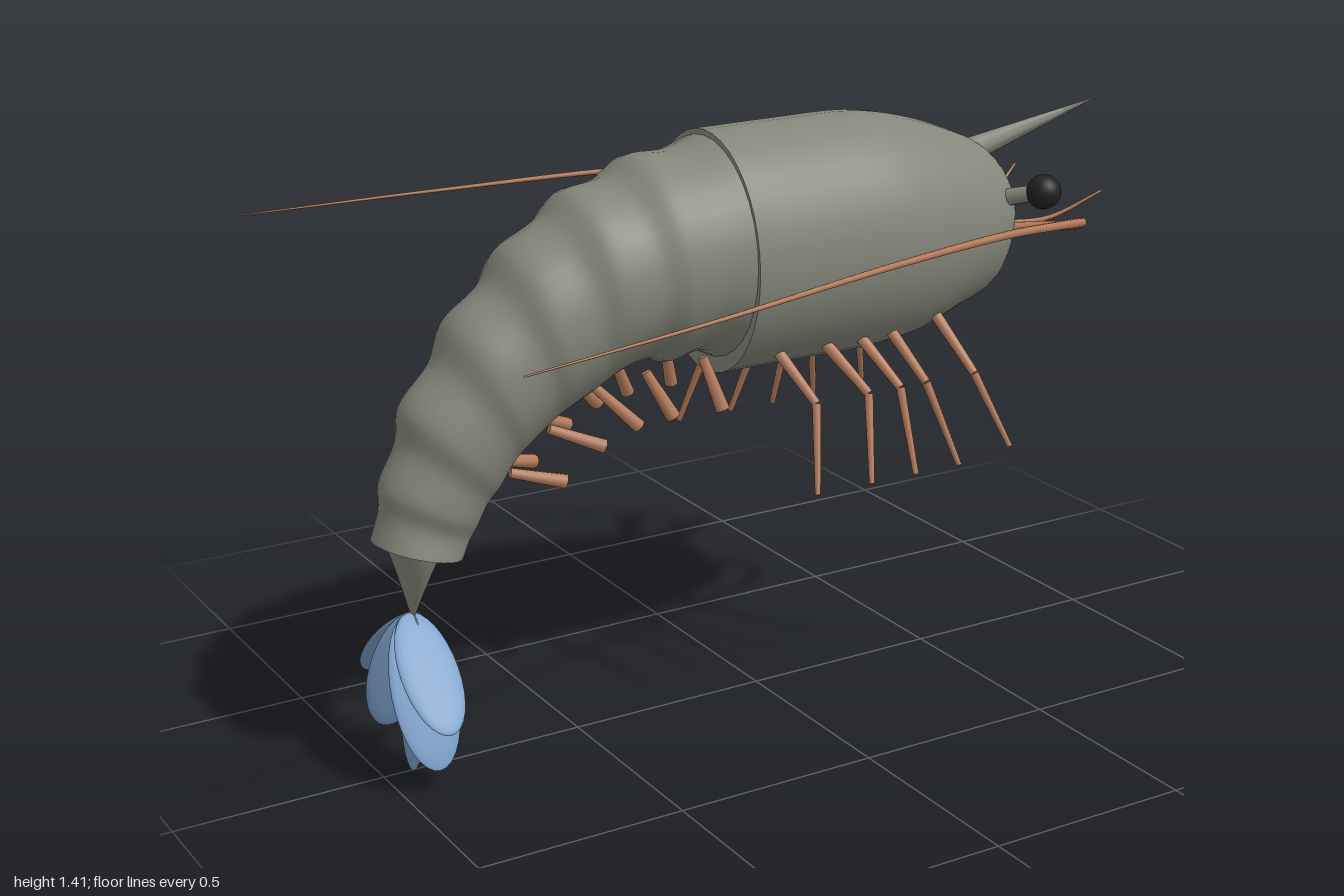
import * as THREE from 'three';

const paint = (name, color) => {
  const m = new THREE.MeshStandardMaterial({ color });
  m.name = name;
  return m;
};
const V = (x, y, z = 0) => new THREE.Vector3(x, y, z);

// Skin elliptical rings; each station is [topX, topY, bottomX, bottomY, halfWidth]
function loft(stations, steps, sides = 32) {
  const curve = f => new THREE.CatmullRomCurve3(stations.map(f));
  const tops = curve(s => V(s[0], s[1])), bottoms = curve(s => V(s[2], s[3]));
  const widths = curve((s, i) => V(i, s[4]));
  const pos = [], idx = [], centres = [];
  for (let i = 0; i <= steps; i++) {
    const t = i / steps, a = tops.getPoint(t), b = bottoms.getPoint(t), w = widths.getPoint(t).y;
    const c = a.clone().add(b).multiplyScalar(0.5), u = a.sub(c);
    centres.push(c);
    for (let j = 0; j < sides; j++) {
      const q = j / sides * Math.PI * 2;
      pos.push(c.x + u.x * Math.cos(q), c.y + u.y * Math.cos(q), w * Math.sin(q));
    }
  }
  for (let i = 0; i < steps; i++) for (let j = 0; j < sides; j++) {
    const k = (j + 1) % sides, a = i * sides + j, b = i * sides + k;
    idx.push(a, a + sides, b, b, a + sides, b + sides);
  }
  // Closed ends with their own vertices, so the rims stay sharp
  for (const ring of [0, steps]) {
    const base = pos.length / 3;
    pos.push(...pos.slice(ring * sides * 3, (ring + 1) * sides * 3), ...centres[ring].toArray());
    for (let j = 0; j < sides; j++) {
      const a = base + j, b = base + (j + 1) % sides;
      idx.push(base + sides, ring ? b : a, ring ? a : b);
    }
  }
  const g = new THREE.BufferGeometry();
  g.setAttribute('position', new THREE.Float32BufferAttribute(pos, 3));
  g.setIndex(idx);
  g.computeVertexNormals();
  return g;
}

// Tapered rod between two points
function rod(a, b, r0, r1, sides = 8) {
  const d = b.clone().sub(a), g = new THREE.CylinderGeometry(r1, r0, d.length(), sides);
  g.applyQuaternion(new THREE.Quaternion().setFromUnitVectors(V(0, 1), d.normalize()));
  const m = a.clone().add(b).multiplyScalar(0.5);
  return g.translate(m.x, m.y, m.z);
}

// Tube along a curve whose rings shrink towards the tip
function feeler(points, r0, r1, segments) {
  const curve = new THREE.CatmullRomCurve3(points), sides = 8;
  const g = new THREE.TubeGeometry(curve, segments, r0, sides), p = g.attributes.position;
  const v = V(0, 0);
  for (let i = 0; i < p.count; i++) {
    const t = Math.floor(i / (sides + 1)) / segments, c = curve.getPointAt(t);
    v.fromBufferAttribute(p, i).sub(c).multiplyScalar(1 + (r1 / r0 - 1) * t).add(c);
    p.setXYZ(i, v.x, v.y, v.z);
  }
  return g;
}

// Flat oval blade from root to tip
function blade(a, b, halfX, halfZ) {
  const d = b.clone().sub(a), g = new THREE.SphereGeometry(1, 24, 16);
  g.scale(halfX, d.length() / 2, halfZ);
  g.applyQuaternion(new THREE.Quaternion().setFromUnitVectors(V(0, -1), d.normalize()));
  const m = a.clone().add(b).multiplyScalar(0.5);
  return g.translate(m.x, m.y, m.z);
}

export function createModel() {
  const model = new THREE.Group();
  model.name = 'shrimp';
  const shell = paint('shell grey', 0x85877a), limb = paint('limb copper', 0xb57c5c);
  const fin = paint('fin blue', 0x7b9fc8), black = paint('eye black', 0x222224);
  const add = (name, geometry, material) => {
    const m = new THREE.Mesh(geometry, material);
    m.name = name;
    model.add(m);
  };

  // Body shell, from nose to back
  add('carapace', loft([
    [0.71, 1.17, 0.71, 1.09, 0.04], [0.68, 1.235, 0.68, 1.03, 0.105],
    [0.625, 1.295, 0.625, 0.93, 0.16], [0.52, 1.345, 0.52, 0.89, 0.2],
    [0.4, 1.385, 0.4, 0.85, 0.228], [0.27, 1.41, 0.27, 0.835, 0.245],
    [0.06, 1.412, 0.06, 0.835, 0.247], [-0.14, 1.41, -0.14, 0.835, 0.247],
  ], 28, 40), shell);

  // Ringed abdomen, alternating ridges and grooves
  add('abdomen', loft([
    [-0.13, 1.4, -0.12, 0.865, 0.24], [-0.22, 1.372, -0.2, 0.9, 0.23],
    [-0.32, 1.368, -0.28, 0.885, 0.227], [-0.39, 1.325, -0.33, 0.9, 0.208],
    [-0.49, 1.305, -0.42, 0.877, 0.203], [-0.55, 1.25, -0.46, 0.85, 0.183],
    [-0.65, 1.195, -0.54, 0.81, 0.178], [-0.7, 1.12, -0.57, 0.79, 0.159],
    [-0.79, 1.05, -0.64, 0.735, 0.154], [-0.83, 0.96, -0.66, 0.715, 0.136],
    [-0.91, 0.87, -0.7, 0.655, 0.13], [-0.925, 0.79, -0.725, 0.625, 0.111],
    [-0.97, 0.7, -0.75, 0.58, 0.108], [-0.975, 0.64, -0.77, 0.545, 0.093],
    [-0.995, 0.57, -0.79, 0.51, 0.103],
  ], 70), shell);
  add('tailBase', loft([
    [-0.965, 0.57, -0.84, 0.55, 0.095], [-0.94, 0.49, -0.872, 0.485, 0.065],
    [-0.914, 0.38, -0.906, 0.38, 0.006],
  ], 8, 20), shell);
  add('rostrum', rod(V(0.6, 1.272), V(1, 1.365), 0.034, 0.001, 8), shell);

  // Central tail blade
  add('tailBladeCentre', blade(V(-0.91, 0.39), V(-0.93, 0), 0.012, 0.07), fin);

  // Walking legs: [hipX, kneeX, footX]
  const legs = [[-0.03, 0.01, -0.03], [0.1, 0.155, 0.12], [0.2, 0.245, 0.245],
    [0.29, 0.32, 0.37], [0.42, 0.46, 0.52]];
  // Swimming legs: [rootX, rootY, tipX, tipY]
  const paddles = [[-0.2, 0.9, -0.165, 0.775], [-0.345, 0.885, -0.29, 0.775],
    [-0.48, 0.875, -0.375, 0.765], [-0.585, 0.785, -0.46, 0.73], [-0.68, 0.695, -0.555, 0.66]];

  for (const [side, s] of [['left', 1], ['right', -1]]) {
    // Side tail blades
    const root = V(-0.92, 0.39);
    add(side + 'InnerTailBlade', blade(root, V(-0.92, 0.055, s * 0.14), 0.08, 0.012), fin);
    add(side + 'OuterTailBlade', blade(root, V(-0.92, 0.17, s * 0.208), 0.07, 0.012), fin);

    // Eyes on stalks
    const eye = V(0.68, 1.205, s * 0.213);
    add(side + 'EyeStalk', rod(V(0.61, 1.175, s * 0.11), eye, 0.022, 0.02, 10), shell);
    add(side + 'Eye', new THREE.SphereGeometry(0.042, 20, 14).translate(...eye.toArray()), black);

    // Long swept antenna and short antennule
    add(side + 'Antenna', feeler([
      V(0.65, 1.09, s * 0.075), V(0.73, 1.098, s * 0.14), V(0.775, 1.11, s * 0.21),
      V(0.74, 1.138, s * 0.29), V(0.6, 1.165, s * 0.37), V(0.4, 1.185, s * 0.44),
      V(0, 1.195, s * 0.56), V(-0.5, 1.178, s * 0.67), V(-0.98, 1.16, s * 0.75),
    ], 0.013, 0.002, 64), limb);
    add(side + 'Antennule', feeler([
      V(0.65, 1.1, s * 0.075), V(0.77, 1.11, s * 0.12), V(0.89, 1.175, s * 0.175),
    ], 0.009, 0.003, 12), limb);

    legs.forEach(([hx, kx, fx], i) => {
      const knee = V(kx, 0.795, s * 0.25), hip = V(hx, i === 4 ? 0.925 : 0.905, s * 0.135);
      add(side + 'UpperLeg' + (i + 1), rod(hip, knee, 0.015, 0.011), limb);
      add(side + 'LowerLeg' + (i + 1), rod(knee, V(fx, i === 4 ? 0.62 : 0.6, s * 0.32), 0.011, 0.007), limb);
    });
    paddles.forEach(([x0, y0, x1, y1], i) => {
      const z = 0.09 - i * 0.01;
      add(side + 'SwimmingLeg' + (i + 1), rod(V(x0, y0, s * z), V(x1, y1, s * (z + 0.03)), 0.012, 0.017), limb);
    });
  }
  return model;
}
